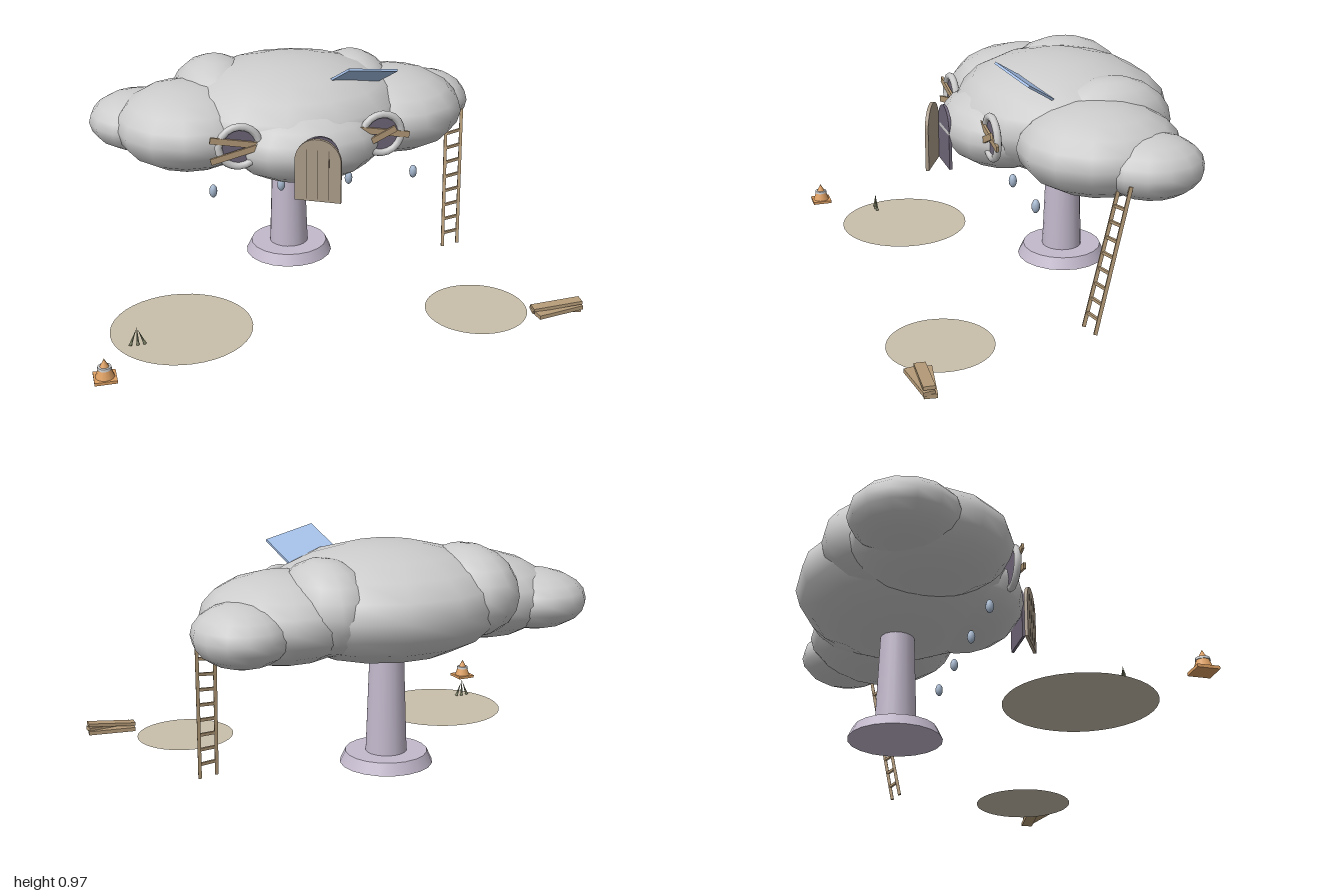
import * as THREE from 'three';

const mat = (color, side = THREE.FrontSide) => new THREE.MeshStandardMaterial({ color, side });
const V = (x, y, z) => new THREE.Vector3(x, y, z);

export function createModel() {
  const root = new THREE.Group();
  const grey = mat(0xcccccc), stone = mat(0xc3b9cc), wood = mat(0xb59b78), dark = mat(0x6f6678);
  const orange = mat(0xdd9f62), blue = mat(0xa8c4ec), water = mat(0xa6b8cf);

  const add = (name, geometry, material, pos = [0, 0, 0], parent = root) => {
    const m = new THREE.Mesh(geometry, material);
    m.name = name;
    m.position.set(...pos);
    parent.add(m);
    return m;
  };
  const group = (name, pos = [0, 0, 0]) => {
    const g = new THREE.Group();
    g.name = name;
    g.position.set(...pos);
    root.add(g);
    return g;
  };
  // Board or rail running from a to b
  const beam = (name, a, b, w, t, material, parent) => {
    const m = add(name, new THREE.BoxGeometry(w, t, a.distanceTo(b)), material, [0, 0, 0], parent);
    m.position.copy(a).add(b).multiplyScalar(0.5);
    m.lookAt(b);
    return m;
  };

  // Cloud body: overlapping flattened spheres [centre, radii]
  const cloud = group('cloud');
  const lobes = [
    [[-0.03, 0.7, -0.25], [0.51, 0.24, 0.455]],
    [[-0.03, 0.655, 0.02], [0.33, 0.165, 0.25]],
    [[-0.48, 0.68, -0.23], [0.315, 0.18, 0.33]],
    [[0.42, 0.675, -0.25], [0.32, 0.18, 0.33]],
    [[-0.335, 0.735, -0.37], [0.2, 0.19, 0.275]],
    [[0.28, 0.72, -0.35], [0.18, 0.19, 0.26]],
    [[-0.67, 0.67, -0.37], [0.22, 0.125, 0.225]],
    [[0.635, 0.655, -0.38], [0.19, 0.125, 0.21]],
  ];
  for (const [c, r] of lobes) {
    add('cloudLobe', new THREE.SphereGeometry(1, 14, 10), grey, c, cloud).scale.set(...r);
  }

  // Stem and foot
  add('stem', new THREE.CylinderGeometry(0.068, 0.086, 0.5, 20), stone, [-0.035, 0.31, -0.27]);
  add('foot', new THREE.CylinderGeometry(0.17, 0.193, 0.048, 20), stone, [-0.035, 0.041, -0.27]);

  // Round windows, each boarded over with two planks
  const boards = [
    [-0.335, [[-0.455, 0.74, -0.25, 0.7], [-0.455, 0.65, -0.245, 0.7]]],
    [0.265, [[0.135, 0.735, 0.38, 0.69], [0.16, 0.65, 0.32, 0.725]]],
  ];
  for (const [x, planks] of boards) {
    const w = group('boardedWindow');
    add('windowRing', new THREE.TorusGeometry(0.084, 0.016, 8, 20), grey, [x, 0.7, 0.145], w);
    add('windowPane', new THREE.CylinderGeometry(0.08, 0.08, 0.012, 20), dark, [x, 0.7, 0.14], w).rotation.x = Math.PI / 2;
    planks.forEach(([x1, y1, x2, y2], i) => {
      const z = 0.156 + i * 0.006;
      beam('windowBoard', V(x1, y1, z), V(x2, y2, z), 0.01, 0.026, wood, w);
    });
  }

  // Arched doorway and the open door hinged at its side
  const arch = (w, h, depth) => {
    const s = new THREE.Shape();
    s.moveTo(0, 0);
    s.lineTo(w, 0);
    s.lineTo(w, h - w / 2);
    s.absarc(w / 2, h - w / 2, w / 2, 0, Math.PI, false);
    s.closePath();
    return new THREE.ExtrudeGeometry(s, { depth, bevelEnabled: false, curveSegments: 10 });
  };
  add('doorway', arch(0.17, 0.255, 0.012), dark, [-0.12, 0.5, 0.25]);
  const door = group('door', [-0.13, 0.5, 0.257]);
  door.rotation.y = -0.49;
  const doorWood = mat(0xa99a88);
  add('doorPanel', arch(0.19, 0.265, 0.014), doorWood, [0, 0, 0], door);
  for (const x of [0.05, 0.095, 0.14]) {
    add('doorSeam', new THREE.BoxGeometry(0.004, 0.21, 0.002), mat(0x76695a), [x, 0.115, 0.014], door);
  }

  // Tilted solar panel
  const A = V(0.135, 0.968, 0.09), B = V(0.365, 0.928, 0.025), D = V(0.085, 0.882, -0.04);
  const u = B.clone().sub(A), v = A.clone().sub(D);
  const panel = add('solarPanel', new THREE.BoxGeometry(u.length(), 0.01, v.length()), blue);
  panel.position.copy(B).add(D).multiplyScalar(0.5);
  const ux = u.clone().normalize();
  const ny = v.clone().cross(u).normalize();
  panel.quaternion.setFromRotationMatrix(new THREE.Matrix4().makeBasis(ux, ny, ux.clone().cross(ny)));

  // Water drops hanging below the front edge
  for (const x of [-0.425, -0.135, 0.16, 0.45]) {
    add('waterDrop', new THREE.SphereGeometry(0.017, 10, 8), water, [x, 0.464, 0.022]).scale.y = 1.7;
  }

  // Leaning ladder
  const ladder = group('ladder');
  const rails = [
    [V(0.653, 0.018, -0.112), V(0.688, 0.62, -0.23)],
    [V(0.73, 0.018, -0.13), V(0.765, 0.632, -0.242)],
  ];
  rails.forEach(([a, b]) => beam('ladderRail', a, b, 0.014, 0.014, wood, ladder));
  for (let i = 0; i < 8; i++) {
    const t = 0.1 + i * 0.107;
    const [p, q] = rails.map(([a, b]) => a.clone().lerp(b, t));
    beam('ladderRung', p, q, 0.01, 0.012, wood, ladder);
  }

  // Bare ground patches
  for (const [x, z, r] of [[-0.62, 0.31, 0.29], [0.595, 0.455, 0.212]]) {
    add('groundPatch', new THREE.CircleGeometry(r, 40), mat(0xc9bfab, THREE.DoubleSide), [x, 0.001, z]).rotation.x = -Math.PI / 2;
  }

  // Little lantern
  const lantern = group('lantern', [-0.96, 0.018, 0.65]);
  add('lanternBase', new THREE.BoxGeometry(0.086, 0.012, 0.086), orange, [0, 0.006, 0], lantern);
  add('lanternBody', new THREE.CylinderGeometry(0.024, 0.037, 0.035, 14), orange, [0, 0.029, 0], lantern);
  add('lanternCollar', new THREE.CylinderGeometry(0.026, 0.028, 0.01, 14), grey, [0, 0.05, 0], lantern);
  add('lanternTip', new THREE.ConeGeometry(0.018, 0.034, 14), orange, [0, 0.071, 0], lantern);

  // Dry grass tuft
  const tuft = group('grassTuft', [-0.81, 0, 0.408]);
  for (const [x, h] of [[-0.025, 0.075], [0, 0.08], [0.025, 0.07]]) {
    const blade = add('grassBlade', new THREE.ConeGeometry(0.007, h, 5), mat(0x858a6c), [x * 0.65, h / 2 + 0.004, 0], tuft);
    blade.rotation.z = x * 15;
  }

  // Loose plank pile
  const pile = group('plankPile');
  beam('plank', V(0.795, 0.028, 0.565), V(0.995, 0.028, 0.595), 0.05, 0.017, wood, pile);
  beam('plank', V(0.795, 0.032, 0.625), V(0.995, 0.04, 0.6), 0.045, 0.017, wood, pile);
  beam('plank', V(0.79, 0.044, 0.585), V(0.995, 0.063, 0.6), 0.045, 0.014, wood, pile);

  return root;
}
